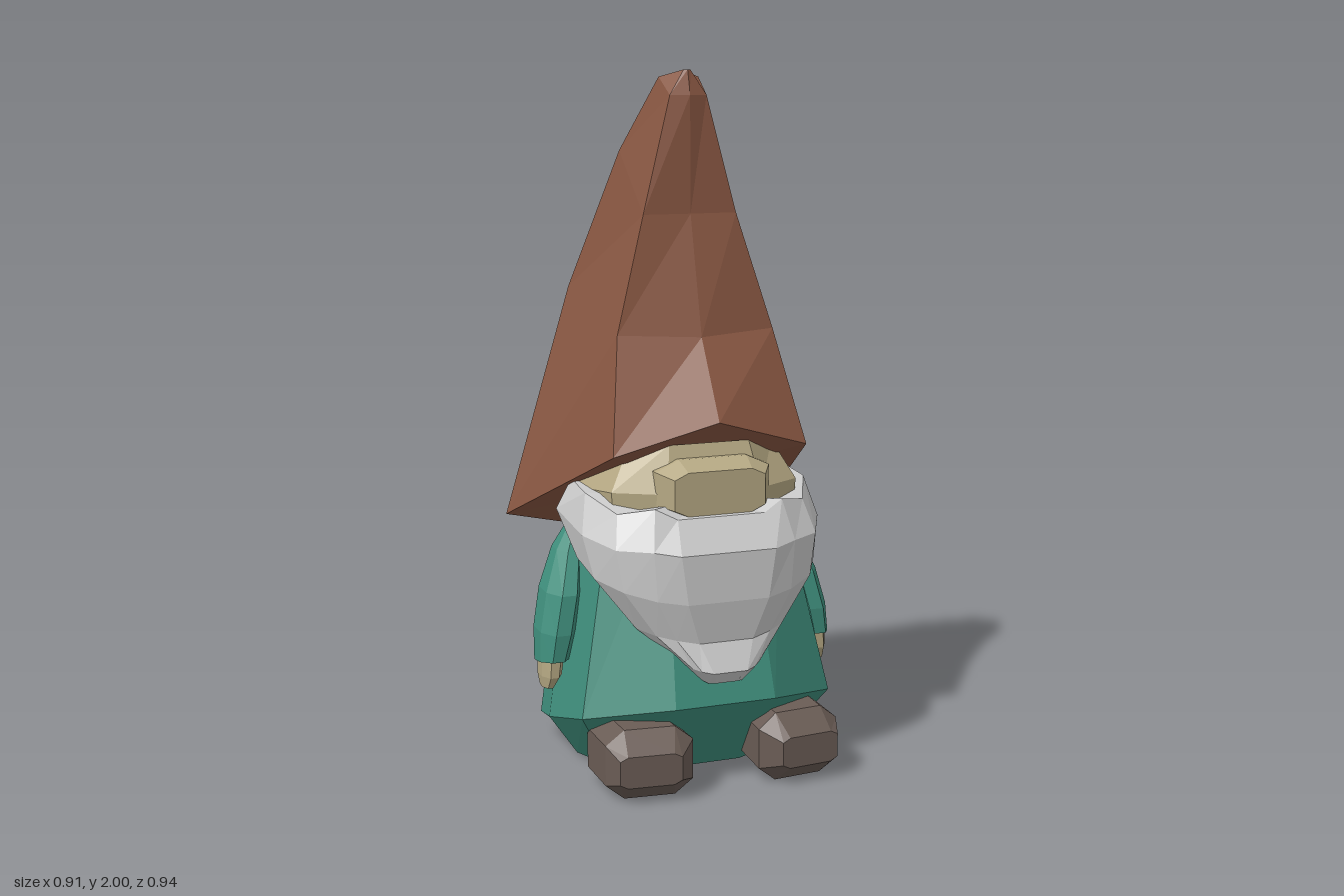
import * as THREE from 'three';

const COLORS = { hat: 0x8a5843, coat: 0x3f8e7c, skin: 0xb5a883, beard: 0xcccccc, boot: 0x6a5c55 };

// Full loop from its +x half; points on x = 0 are not doubled.
function sym(half) {
  const other = half.filter((p) => p[0] !== 0).map(([x, y, z]) => [-x, y, z]).reverse();
  if (half[0][0] === 0) return [...half, ...other];
  return [...half, ...other];
}

// Closed faceted solid through equally sized loops, with fan caps at both ends.
function loft(name, color, rings) {
  const n = rings[0].length;
  const tris = [];
  for (let r = 0; r < rings.length - 1; r++) {
    for (let i = 0; i < n; i++) {
      const j = (i + 1) % n;
      const [a, b, c, d] = [rings[r][i], rings[r][j], rings[r + 1][j], rings[r + 1][i]];
      tris.push([a, b, c], [a, c, d]);
    }
  }
  const cap = (ring, flip) => {
    const mid = [0, 1, 2].map((k) => ring.reduce((s, p) => s + p[k], 0) / n);
    ring.forEach((p, i) => {
      const q = ring[(i + 1) % n];
      tris.push(flip ? [mid, q, p] : [mid, p, q]);
    });
  };
  cap(rings[0], true);
  cap(rings[rings.length - 1], false);

  // Turn every face outward using the sign of the enclosed volume
  const v = (p) => new THREE.Vector3(...p);
  const volume = tris.reduce((s, [a, b, c]) => s + v(a).dot(v(b).cross(v(c))), 0);
  if (volume < 0) tris.forEach((t) => t.reverse());

  const geometry = new THREE.BufferGeometry();
  geometry.setAttribute('position', new THREE.Float32BufferAttribute(tris.flat(2), 3));
  geometry.computeVertexNormals();
  const mesh = new THREE.Mesh(geometry, new THREE.MeshStandardMaterial({ color, flatShading: true }));
  mesh.name = name;
  return mesh;
}

// Horizontal octagon, tilted by a slope along z.
function octagonY(x, y, z, rx, rz, slope = 0) {
  return Array.from({ length: 8 }, (_, i) => {
    const a = ((i + 0.5) * Math.PI) / 4;
    const dz = Math.sin(a) * rz * 1.08;
    return [x + Math.cos(a) * rx * 1.08, y + slope * dz, z + dz];
  });
}

// Upright chamfered rectangle facing +z, sheared so one side can lead.
function chamferZ(x, y, z, hx, hy, cut, shear = 0) {
  const cx = hx * (1 - cut), cy = hy * (1 - cut);
  return [[hx, -cy], [hx, cy], [cx, hy], [-cx, hy], [-hx, cy], [-hx, -cy], [-cx, -hy], [cx, -hy]]
    .map(([dx, dy]) => [x + dx, y + dy, z + shear * dx]);
}

export function createModel() {
  const model = new THREE.Group();
  model.name = 'gardenGnome';

  // Coat: small base, flared tilted hem, shoulders under the hat
  model.add(loft('coat', COLORS.coat, [
    sym([[0.11, 0.01, 0.24], [0.27, 0.01, 0.16], [0.32, 0.005, 0.02], [0.29, 0.005, -0.17], [0.15, 0.005, -0.31]]),
    sym([[0.15, 0.245, 0.41], [0.38, 0.2, 0.27], [0.41, 0.135, 0.04], [0.37, 0.07, -0.19], [0.17, 0.02, -0.35]]),
    sym([[0.12, 0.8, 0.25], [0.26, 0.8, 0.17], [0.31, 0.78, 0], [0.28, 0.73, -0.19], [0.13, 0.66, -0.31]]),
  ]));

  // Head, mostly hidden between beard and hat
  model.add(loft('head', COLORS.skin, [
    sym([[0.14, 0.7, 0.32], [0.27, 0.7, 0.24], [0.32, 0.7, 0.03], [0.25, 0.7, -0.12]]),
    sym([[0.14, 0.84, 0.32], [0.28, 0.84, 0.24], [0.33, 0.82, 0.03], [0.25, 0.78, -0.12]]),
    sym([[0.12, 0.97, 0.27], [0.22, 0.95, 0.2], [0.25, 0.9, 0.03], [0.2, 0.82, -0.1]]),
  ]));

  // Broad flat nose
  model.add(loft('nose', COLORS.skin, [
    chamferZ(0, 0.855, 0.24, 0.17, 0.078, 0.4),
    chamferZ(0, 0.855, 0.3, 0.17, 0.078, 0.4),
    chamferZ(0, 0.845, 0.36, 0.135, 0.062, 0.3),
  ]));

  // Beard: curved rows wrapping the face and narrowing to the tip
  model.add(loft('beard', COLORS.beard, [
    sym([[0.33, 0.84, 0.02], [0.335, 0.83, 0.17], [0.28, 0.79, 0.29], [0.19, 0.81, 0.35], [0.13, 0.78, 0.37]]),
    sym([[0.37, 0.75, 0], [0.36, 0.72, 0.22], [0.3, 0.7, 0.34], [0.21, 0.7, 0.4], [0.14, 0.69, 0.43]]),
    sym([[0.345, 0.63, 0.12], [0.335, 0.6, 0.25], [0.28, 0.58, 0.35], [0.2, 0.56, 0.4], [0.12, 0.55, 0.43]]),
    sym([[0.24, 0.48, 0.25], [0.23, 0.46, 0.3], [0.19, 0.45, 0.36], [0.14, 0.44, 0.39], [0.08, 0.43, 0.41]]),
    sym([[0.12, 0.38, 0.32], [0.12, 0.37, 0.36], [0.1, 0.36, 0.41], [0.08, 0.355, 0.43], [0.05, 0.35, 0.445]]),
    sym([[0.07, 0.32, 0.36], [0.07, 0.32, 0.38], [0.06, 0.315, 0.4], [0.05, 0.31, 0.405], [0.03, 0.31, 0.41]]),
  ]));

  // Hat: six-sided, brim raised in front, sweeping down behind
  model.add(loft('hat', COLORS.hat, [
    sym([[0, 1.04, 0.35], [0.29, 0.95, 0.29], [0.44, 0.67, -0.3], [0, 0.54, -0.47]]),
    sym([[0, 1.26, 0.21], [0.235, 1.27, 0.165], [0.24, 1.36, -0.285], [0, 1.36, -0.26]]),
    sym([[0, 1.6, 0.12], [0.14, 1.6, 0.115], [0.135, 1.77, -0.11], [0, 1.77, -0.12]]),
    sym([[0, 1.93, 0.115], [0.055, 1.93, 0.1], [0.06, 1.98, 0.02], [0, 1.985, 0.01]]),
    sym([[0, 2, 0.095], [0.01, 2, 0.09], [0.01, 1.995, 0.04], [0, 1.99, 0.02]]),
  ]));

  // Paired sleeves, hands and boots
  for (const side of [1, -1]) {
    const label = side > 0 ? 'left' : 'right';
    const mirror = (rings) => rings.map((ring) => ring.map(([x, y, z]) => [side * x, y, z]));

    model.add(loft(label + 'Sleeve', COLORS.coat, mirror([
      octagonY(0.31, 0.7, -0.02, 0.02, 0.03),
      octagonY(0.335, 0.63, -0.01, 0.04, 0.065),
      octagonY(0.37, 0.52, 0.03, 0.053, 0.098),
      octagonY(0.395, 0.41, 0.055, 0.053, 0.093),
      octagonY(0.41, 0.32, 0.07, 0.043, 0.075, 0.15),
    ])));

    model.add(loft(label + 'Hand', COLORS.skin, mirror([
      octagonY(0.412, 0.34, 0.07, 0.034, 0.058),
      octagonY(0.417, 0.28, 0.072, 0.03, 0.056),
      octagonY(0.425, 0.245, 0.075, 0.018, 0.035),
    ])));

    model.add(loft(label + 'Boot', COLORS.boot, mirror([
      chamferZ(0.23, 0.09, 0.16, 0.06, 0.06, 0.45, -0.1),
      chamferZ(0.23, 0.1, 0.24, 0.122, 0.1, 0.42, -0.1),
      chamferZ(0.225, 0.1, 0.4, 0.125, 0.1, 0.42, -0.1),
      chamferZ(0.24, 0.097, 0.46, 0.088, 0.045, 0.25, -0.1),
    ])));
  }
  return model;
}
